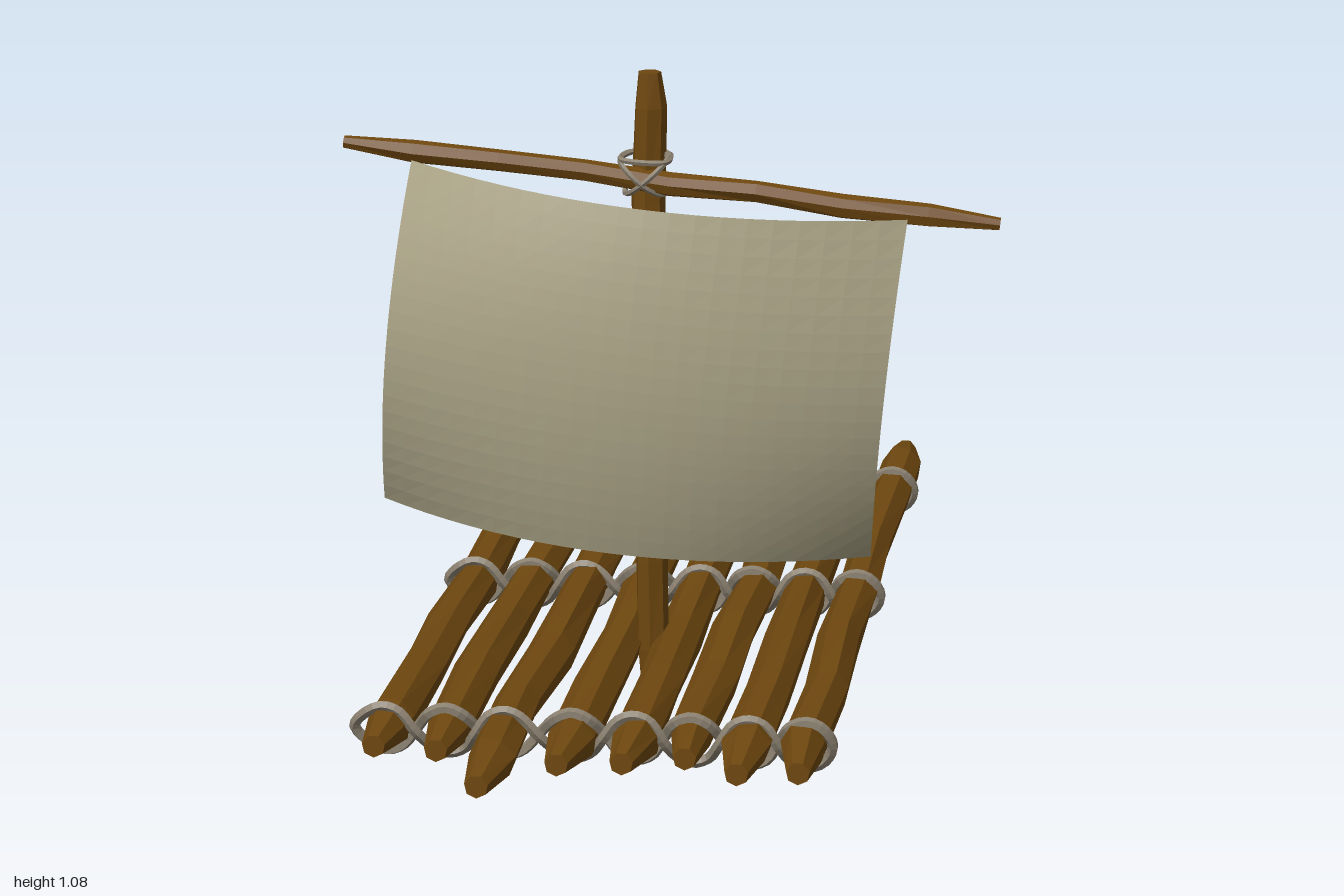
import * as THREE from 'three';

const wood = new THREE.MeshStandardMaterial({ color: 0x6e470f, flatShading: true });
const ropeMat = new THREE.MeshStandardMaterial({ color: 0x8a8070, flatShading: true });
const cloth = new THREE.MeshStandardMaterial({ color: 0xa8a184, flatShading: true, side: THREE.DoubleSide });
const V = (x, y, z) => new THREE.Vector3(x, y, z);

// Repeatable value in -1..1
const noise = (n) => {
  const s = Math.sin(n * 127.1 + 3.7) * 43758.5453;
  return (s - Math.floor(s)) * 2 - 1;
};

// Rough-hewn pole between two points, with tapered ends and uneven rings
function pole(name, a, b, radius, seed, tip = 0.5, taper = 0.12, sway = 0.006) {
  const sides = 7, rings = 8, dir = b.clone().sub(a), len = dir.length();
  const g = new THREE.CylinderGeometry(1, 1, 1, sides, rings);
  const p = g.attributes.position;
  for (let i = 0; i < p.count; i++) {
    const k = Math.round((p.getY(i) + 0.5) * rings);
    const angle = Math.atan2(p.getX(i), p.getZ(i));
    const side = (Math.round(angle / (Math.PI * 2) * sides) + sides) % sides;
    const end = k === 0 || k === rings;
    const inner = taper / len;
    const t = end ? k / rings : inner + (1 - 2 * inner) * (k - 1) / (rings - 2);
    const r = radius * (end ? tip : 1 + 0.1 * noise(seed * 31 + k * 7 + side * 1.7));
    const w = end ? sway * 0.4 : sway;
    p.setXYZ(i,
      p.getX(i) * r + w * noise(seed * 5 + k),
      (t - 0.5) * len,
      p.getZ(i) * r + w * 0.5 * noise(seed * 9 + k + 0.5));
  }
  g.computeVertexNormals();
  const m = new THREE.Mesh(g, wood);
  m.name = name;
  m.position.copy(a).add(b).multiplyScalar(0.5);
  m.quaternion.setFromUnitVectors(V(0, 1, 0), dir.normalize());
  return m;
}

function rope(name, points, radius, segments, closed = true) {
  const curve = new THREE.CatmullRomCurve3(points, closed, 'centripetal');
  const m = new THREE.Mesh(new THREE.TubeGeometry(curve, segments, radius, 5, closed), ropeMat);
  m.name = name;
  return m;
}

// Rope woven over and under the logs, returning on the opposite side of each
function weave(xs, z0) {
  const pts = [], n = xs.length, cy = 0.065, amp = 0.043;
  const zAt = (x, s) => z0 - x * 0.03 + s * 0.012;
  const strand = (i, s) => {
    const up = (i % 2 ? -1 : 1) * s;
    return [-0.026, 0, 0.026].map((d) =>
      V(xs[i] + d, cy + up * amp * (d ? 0.78 : 1), zAt(xs[i] + d, up)));
  };
  for (let i = 0; i < n; i++) {
    pts.push(...strand(i, 1));
    if (i < n - 1) {
      const x = (xs[i] + xs[i + 1]) / 2;
      pts.push(V(x, cy, zAt(x, 0) + 0.009));
    }
  }
  pts.push(V(xs[n - 1] + 0.043, cy, zAt(xs[n - 1], 0)));
  for (let i = n - 1; i >= 0; i--) {
    pts.push(...strand(i, -1).reverse());
    if (i > 0) {
      const x = (xs[i] + xs[i - 1]) / 2;
      pts.push(V(x, cy, zAt(x, 0) - 0.009));
    }
  }
  pts.push(V(xs[0] - 0.052, cy, zAt(xs[0], 0)));
  return rope('deckLashing', pts, 0.0095, 200);
}

// Wind-filled sail: a skewed rectangle bulging forward
function makeSail() {
  const g = new THREE.PlaneGeometry(2, 2, 20, 20);
  const p = g.attributes.position;
  const tl = V(-0.435, 0.932, 0.35), tr = V(0.402, 0.848, 0.31);
  const bl = V(-0.492, 0.335, 0.355), br = V(0.347, 0.255, 0.315);
  for (let i = 0; i < p.count; i++) {
    const u = p.getX(i), v = p.getY(i);
    const top = tl.clone().lerp(tr, (u + 1) / 2);
    const q = bl.clone().lerp(br, (u + 1) / 2).lerp(top, (v + 1) / 2);
    q.z += 0.15 * (1 - u * u) + (1 - v * v) * (0.045 + 0.05 * u * u);
    p.setXYZ(i, q.x, q.y, q.z);
  }
  g.computeVertexNormals();
  const m = new THREE.Mesh(g, cloth);
  m.name = 'sail';
  return m;
}

export function createModel() {
  const raft = new THREE.Group();
  raft.name = 'raft';

  // Deck logs: x, back end, front end
  const logs = [
    [-0.408, -0.96, 0.85], [-0.305, -1.0, 0.85], [-0.207, -0.82, 1.0], [-0.096, -0.96, 0.89],
    [0.006, -0.96, 0.87], [0.1, -0.96, 0.83], [0.195, -0.96, 0.89], [0.288, -0.96, 0.87],
  ];
  const deck = new THREE.Group();
  deck.name = 'deck';
  logs.forEach(([x, back, front], i) =>
    deck.add(pole('log', V(x, 0.068, back), V(x, 0.068, front), 0.039, i + 1)));
  raft.add(deck);

  // Deck ropes and a loose rope end at the back
  const xs = logs.map((l) => l[0]);
  for (const z of [-0.675, -0.03, 0.74]) raft.add(weave(xs, z));
  raft.add(rope('looseRopeEnd', [V(-0.455, 0.045, -0.66), V(-0.43, 0.022, -0.64),
    V(-0.39, 0.012, -0.625), V(-0.36, 0.016, -0.63), V(-0.355, 0.05, -0.665)], 0.0095, 20, false));

  // Mast, yard and sail
  raft.add(pole('mast', V(-0.04, 0, 0.283), V(-0.04, 1.082, 0.283), 0.028, 21, 0.7, 0.06, 0.004));
  raft.add(pole('yard', V(-0.555, 0.957, 0.33), V(0.555, 0.838, 0.285), 0.02, 33, 0.55, 0.12, 0.004));
  raft.add(makeSail());

  // Crossed rope loops holding the yard to the mast
  for (const s of [-1, 1]) {
    const x = -0.045;
    raft.add(rope('yardLashing', [
      V(x - s * 0.003, 0.895, 0.334), V(x + s * 0.036, 0.932, 0.325), V(x + s * 0.036, 0.94, 0.285),
      V(x + s * 0.01, 0.935, 0.249), V(x - s * 0.03, 0.9, 0.26), V(x - s * 0.034, 0.875, 0.295),
    ], 0.005, 40));
  }
  raft.add(rope('yardLashing', [V(-0.08, 0.938, 0.325), V(-0.008, 0.935, 0.325),
    V(-0.004, 0.94, 0.28), V(-0.04, 0.942, 0.249), V(-0.077, 0.94, 0.28)], 0.005, 40));

  return raft;
}
